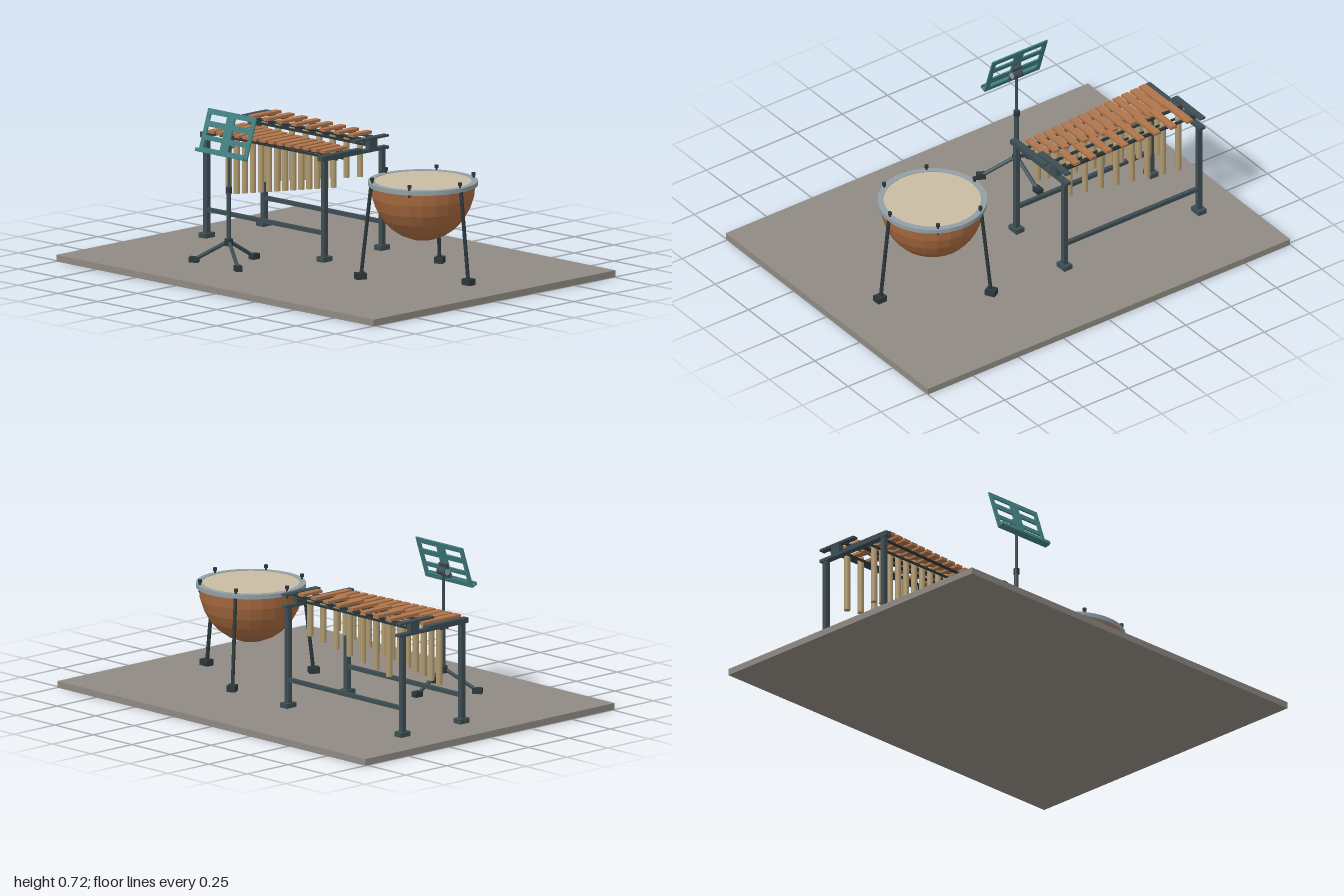
import * as THREE from 'three';

const mat = (name, color, extra = {}) => {
  const m = new THREE.MeshStandardMaterial({ color, ...extra });
  m.name = name;
  return m;
};

export function createModel() {
  const M = {
    floor: mat('stone floor', 0x8f8a82),
    frame: mat('slate frame', 0x3d4d53),
    dark: mat('dark steel', 0x2b3639),
    wood: mat('wooden bars', 0xb0744a),
    pipe: mat('tan resonators', 0xb09a70),
    copper: mat('copper bowl', 0xa86a40, { flatShading: true, side: THREE.DoubleSide }),
    skin: mat('drum skin', 0xc8bda2),
    rim: mat('grey rim', 0x929fa5),
    teal: mat('teal desk', 0x417f80),
  };
  const add = (parent, name, geo, material, x = 0, y = 0, z = 0) => {
    const m = new THREE.Mesh(geo, material);
    m.name = name;
    m.position.set(x, y, z);
    parent.add(m);
    return m;
  };
  const box = (parent, name, material, w, h, d, x, y, z) =>
    add(parent, name, new THREE.BoxGeometry(w, h, d), material, x, y, z);
  const cyl = (parent, name, material, r, h, x, y, z, sides = 12) =>
    add(parent, name, new THREE.CylinderGeometry(r, r, h, sides), material, x, y, z);
  // Round rod running from a to b
  const rod = (parent, name, material, a, b, r) => {
    const p = new THREE.Vector3(...a), q = new THREE.Vector3(...b);
    const dir = q.clone().sub(p);
    const m = add(parent, name, new THREE.CylinderGeometry(r, r, dir.length(), 8), material);
    m.position.copy(p).add(q).multiplyScalar(0.5);
    m.quaternion.setFromUnitVectors(new THREE.Vector3(0, 1, 0), dir.normalize());
    return m;
  };
  const group = (parent, name, x = 0, y = 0, z = 0) => {
    const g = new THREE.Group();
    g.name = name;
    g.position.set(x, y, z);
    parent.add(g);
    return g;
  };
  const lerp = THREE.MathUtils.lerp;

  const root = new THREE.Group();
  root.name = 'percussionSet';
  box(root, 'floor', M.floor, 2, 0.03, 1.525, 0, 0.015, 0);

  // Kettledrum: faceted bowl, rim hoop, skin, tuning knobs and three legs
  const drum = group(root, 'kettledrum', 0.473, 0, -0.075);
  const profile = [new THREE.Vector2(0, 0.2)];
  for (let i = 0; i <= 6; i++) {
    const a = lerp(0.24, Math.PI / 2, i / 6);
    profile.push(new THREE.Vector2(0.234 * Math.sin(a), 0.447 - 0.254 * Math.cos(a)));
  }
  add(drum, 'bowl', new THREE.LatheGeometry(profile, 24), M.copper);
  const hoop = new THREE.Shape().absarc(0, 0, 0.245, 0, Math.PI * 2);
  hoop.holes.push(new THREE.Path().absarc(0, 0, 0.217, 0, Math.PI * 2, true));
  const hoopGeo = new THREE.ExtrudeGeometry(hoop, { depth: 0.02, bevelEnabled: false, curveSegments: 32 });
  add(drum, 'rim', hoopGeo.rotateX(-Math.PI / 2), M.rim, 0, 0.443, 0);
  cyl(drum, 'skin', M.skin, 0.22, 0.012, 0, 0.455, 0, 40);
  for (let i = 0; i < 6; i++) {
    const a = i * Math.PI / 3, x = 0.234 * Math.cos(a), z = 0.234 * Math.sin(a);
    cyl(drum, 'tuningScrew', M.dark, 0.005, 0.05, x, 0.455, z, 8);
    cyl(drum, 'tuningKnob', M.dark, 0.009, 0.014, x, 0.48, z, 8);
  }
  for (let i = 0; i < 3; i++) {
    const leg = group(drum, 'drumLeg');
    leg.rotation.y = i * Math.PI * 2 / 3;
    rod(leg, 'legRod', M.dark, [0.24, 0.445, 0], [0.285, 0.05, 0], 0.0085);
    box(leg, 'foot', M.dark, 0.048, 0.028, 0.04, 0.288, 0.044, 0);
  }

  // Bar instrument: end frames, low stretchers, two stepped rows of bars
  const bars = group(root, 'barInstrument');
  const xl = -0.8, xr = -0.058, xm = (xl + xr) / 2, span = xr - xl;
  for (const x of [xl, xr]) {
    for (const z of [0.015, -0.347]) {
      box(bars, 'post', M.frame, 0.024, 0.46, 0.022, x, 0.26, z);
      box(bars, 'postFoot', M.frame, 0.044, 0.022, 0.058, x, 0.041, z);
    }
    box(bars, 'endRail', M.frame, 0.03, 0.014, 0.418, x, 0.494, -0.166);
    box(bars, 'lowerRailPlate', M.frame, 0.03, 0.01, 0.25, x, 0.506, -0.083);
    box(bars, 'riser', M.frame, 0.026, 0.046, 0.05, x, 0.521, -0.281);
    box(bars, 'upperRailPlate', M.frame, 0.03, 0.01, 0.21, x, 0.547, -0.27);
  }
  for (const z of [0.015, -0.347]) box(bars, 'stretcher', M.frame, span, 0.018, 0.018, xm, 0.157, z);

  const row = (name, n, x0, x1, z, y, len0, len1, w0, w1, low0, low1, top) => {
    const g = group(bars, name);
    for (let i = 0; i < n; i++) {
      const t = i / (n - 1), x = lerp(x0, x1, t);
      box(g, 'bar', M.wood, lerp(w0, w1, t), 0.013, lerp(len0, len1, t), x, y, z);
      const low = lerp(low0, low1, t);
      cyl(g, 'resonator', M.pipe, 0.0145, top - low, x, (top + low) / 2, z);
    }
    // Supporting rails converge toward the short bars
    for (const s of [-1, 1])
      rod(g, 'barRail', M.dark, [xl, y - 0.013, z + s * len0 * 0.28], [xr, y - 0.013, z + s * len1 * 0.28], 0.007);
    // Rail carrying the resonators
    for (const s of [-1, 1])
      box(g, 'resonatorRail', M.dark, span, 0.01, 0.006, xm, top - 0.02, z + s * 0.017);
  };
  row('lowerRow', 14, -0.762, -0.102, -0.086, 0.516, 0.23, 0.145, 0.039, 0.031, 0.217, 0.345, 0.5);
  row('upperRow', 8, -0.733, -0.132, -0.283, 0.556, 0.176, 0.12, 0.034, 0.032, 0.25, 0.36, 0.535);

  // Music stand: tripod, telescoping pole and tilted slotted desk
  const stand = group(root, 'musicStand', -0.313, 0, 0.362);
  cyl(stand, 'lowerPole', M.frame, 0.011, 0.25, 0, 0.245, 0);
  cyl(stand, 'upperPole', M.frame, 0.007, 0.21, 0, 0.465, 0);
  cyl(stand, 'collar', M.dark, 0.014, 0.025, 0, 0.368, 0);
  cyl(stand, 'hub', M.dark, 0.02, 0.03, 0, 0.13, 0);
  for (let i = 0; i < 3; i++) {
    const leg = group(stand, 'standLeg');
    leg.rotation.y = Math.PI / 2 + i * Math.PI * 2 / 3;
    rod(leg, 'legRod', M.frame, [0.01, 0.13, 0], [0.155, 0.045, 0], 0.009);
    box(leg, 'foot', M.dark, 0.042, 0.025, 0.03, 0.16, 0.043, 0);
  }
  cyl(stand, 'tiltJoint', M.frame, 0.02, 0.05, 0, 0.58, 0).rotation.z = Math.PI / 2;
  cyl(stand, 'jointCap', M.rim, 0.015, 0.056, 0, 0.58, 0).rotation.z = Math.PI / 2;

  const desk = group(stand, 'desk', 0, 0.525, 0.038);
  desk.rotation.x = -0.32;
  const rect = (shape, x0, y0, x1, y1) =>
    shape.moveTo(x0, y0).lineTo(x1, y0).lineTo(x1, y1).lineTo(x0, y1).closePath();
  const panel = rect(new THREE.Shape(), -0.152, 0, 0.152, 0.2);
  for (const [y0, y1] of [[0.024, 0.058], [0.08, 0.119], [0.145, 0.175]])
    for (const s of [-1, 1])
      panel.holes.push(rect(new THREE.Path(), s * 0.077 - 0.052, y0, s * 0.077 + 0.052, y1));
  add(desk, 'panel', new THREE.ExtrudeGeometry(panel, { depth: 0.007, bevelEnabled: false }), M.teal, 0, 0, -0.0035);
  box(desk, 'ledge', M.teal, 0.304, 0.006, 0.03, 0, 0.003, 0.012);
  box(desk, 'ledgeLip', M.teal, 0.304, 0.016, 0.005, 0, 0.008, 0.025);
  box(desk, 'backPlate', M.frame, 0.05, 0.07, 0.012, 0, 0.065, -0.009);
  return root;
}
